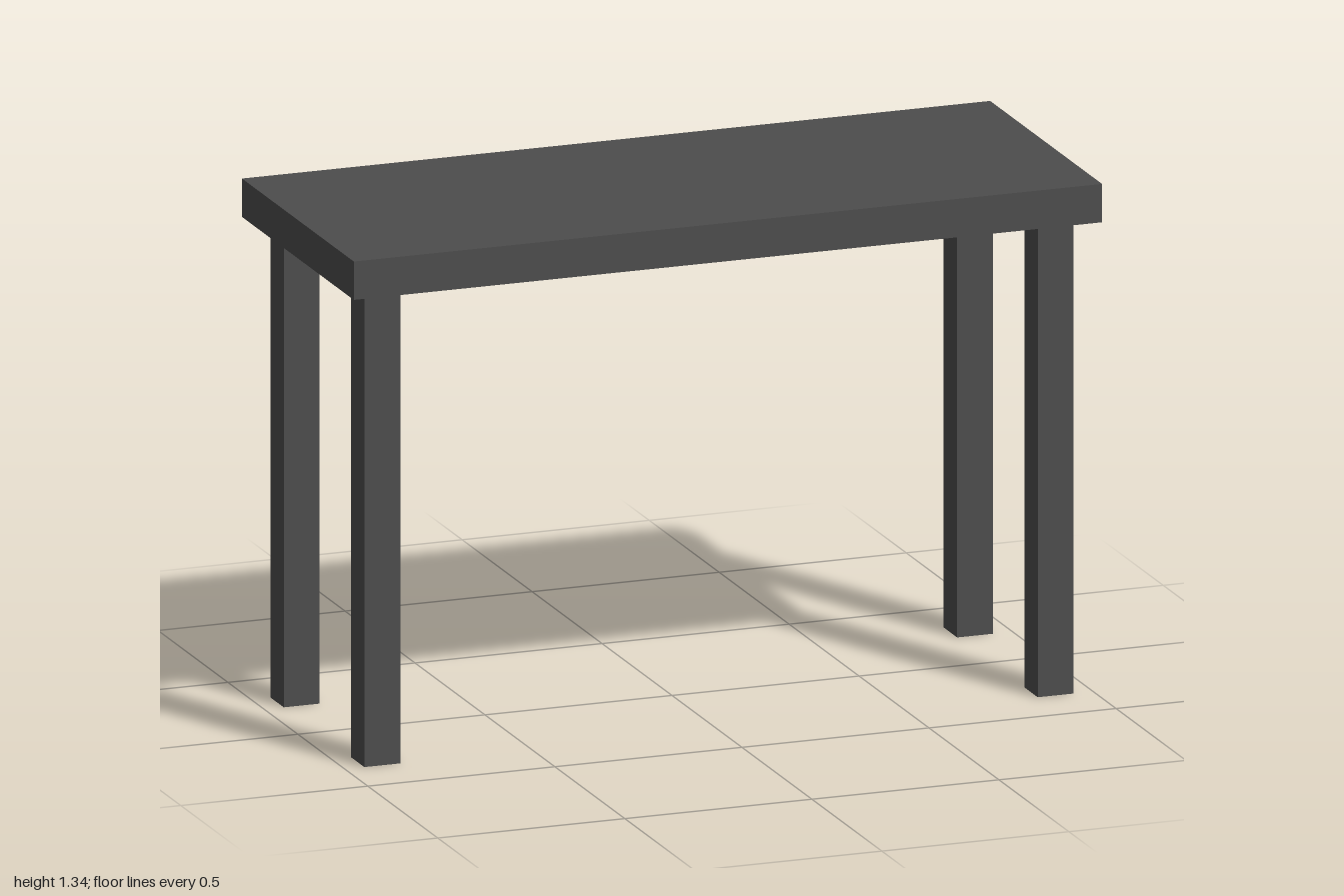
import * as THREE from 'three';

const HEIGHT = 1.34, TOP_THICKNESS = 0.1, LEG_SIZE = 0.096;
const LEG_HEIGHT = HEIGHT - TOP_THICKNESS;

export function createModel() {
  const table = new THREE.Group();
  table.name = 'table';
  const material = new THREE.MeshStandardMaterial({ color: 0x4d4d4d });

  // Flat rectangular slab
  const top = new THREE.Mesh(new THREE.BoxGeometry(2, TOP_THICKNESS, 0.8), material);
  top.name = 'tableTop';
  top.position.y = HEIGHT - TOP_THICKNESS / 2;
  table.add(top);

  // Four square legs, inset from the corners
  const legGeometry = new THREE.BoxGeometry(LEG_SIZE, LEG_HEIGHT, LEG_SIZE);
  for (const [end, z] of [['front', 0.288], ['back', -0.288]]) {
    for (const [side, x] of [['Left', 0.9], ['Right', -0.9]]) {
      const leg = new THREE.Mesh(legGeometry, material);
      leg.name = `${end}${side}Leg`;
      leg.position.set(x, LEG_HEIGHT / 2, z);
      table.add(leg);
    }
  }
  return table;
}
